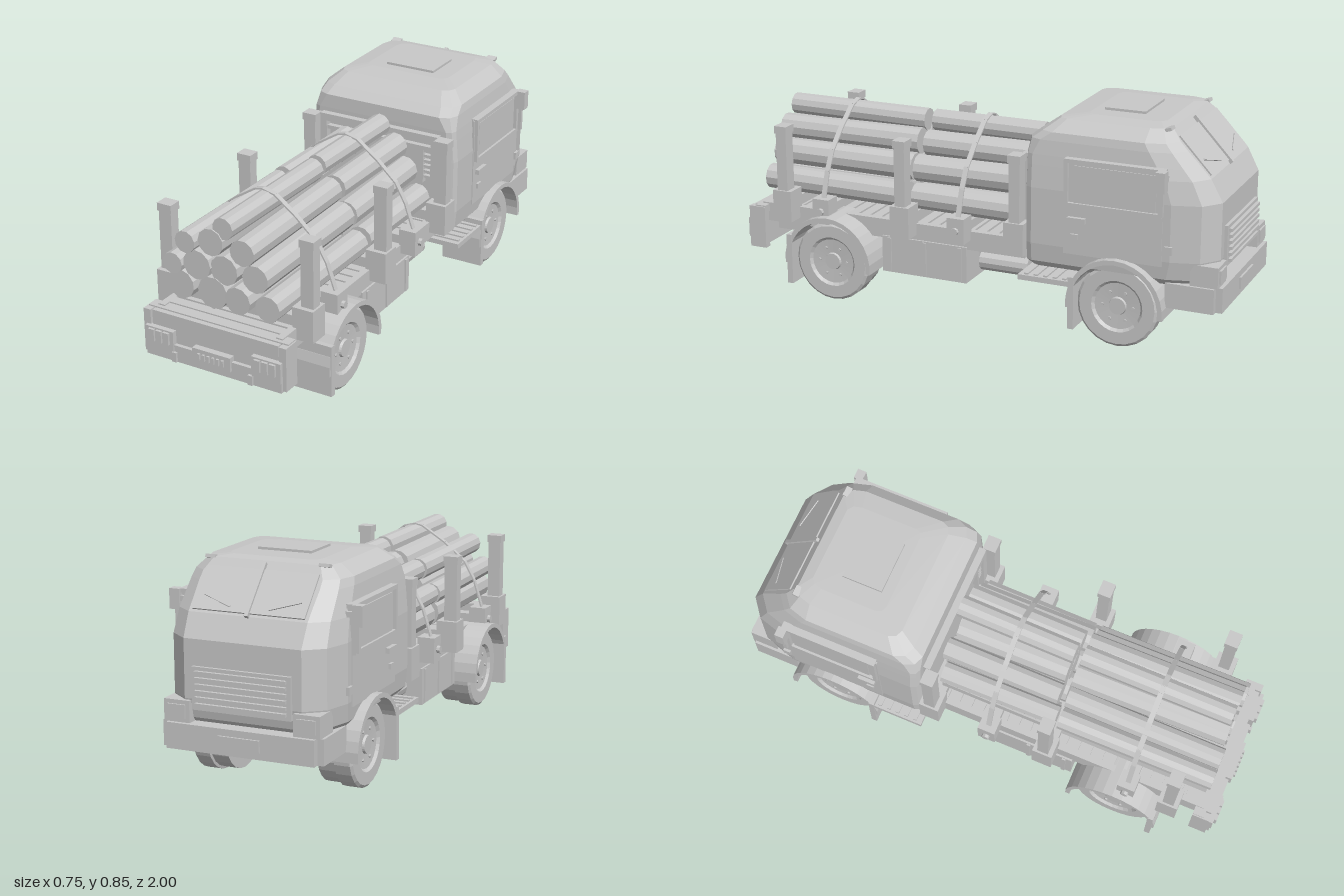
import * as THREE from 'three';

const grey = new THREE.MeshStandardMaterial({ color: 0xc8c8c8, flatShading: true });
grey.name = 'plain grey';

export function createModel() {
  const model = new THREE.Group();
  model.name = 'loggingTruck';

  const add = (name, geo, x = 0, y = 0, z = 0) => {
    const m = new THREE.Mesh(geo, grey);
    m.name = name;
    m.position.set(x, y, z);
    model.add(m);
    return m;
  };
  // box given by its ranges
  const box = (name, x0, x1, y0, y1, z0, z1) =>
    add(name, new THREE.BoxGeometry(x1 - x0, y1 - y0, z1 - z0), (x0 + x1) / 2, (y0 + y1) / 2, (z0 + z1) / 2);
  // the same box on both sides
  const pair = (name, x0, x1, y0, y1, z0, z1) => {
    box(name + 'Left', x0, x1, y0, y1, z0, z1);
    box(name + 'Right', -x1, -x0, y0, y1, z0, z1);
  };
  const rod = (name, r, len, axis, x, y, z, sides = 12) => {
    const g = new THREE.CylinderGeometry(r, r, len, sides);
    if (axis === 'x') g.rotateZ(Math.PI / 2);
    if (axis === 'z') g.rotateX(Math.PI / 2);
    return add(name, g, x, y, z);
  };
  let seed = 7;
  const rand = () => (seed = (seed * 16807) % 2147483647) / 2147483647 - 0.5;

  // Cab: horizontal sections [y, halfWidth, zBack, zFront, backCorner, frontCorner]
  const sections = [
    [0.265, 0.295, -0.25, -0.925, 0.03, 0.09],
    [0.29, 0.318, -0.23, -0.945, 0.03, 0.1],
    [0.36, 0.325, -0.23, -0.96, 0.03, 0.1],
    [0.575, 0.325, -0.23, -0.96, 0.03, 0.1],
    [0.66, 0.318, -0.23, -0.915, 0.03, 0.09],
    [0.7, 0.314, -0.23, -0.878, 0.03, 0.085],
    [0.755, 0.307, -0.232, -0.826, 0.055, 0.075],
    [0.785, 0.3, -0.27, -0.798, 0.06, 0.07],
    [0.828, 0.25, -0.33, -0.76, 0.04, 0.045],
    [0.836, 0.18, -0.42, -0.72, 0.03, 0.03],
  ];
  const rings = sections.map(([y, w, b, f, cb, cf]) => {
    const half = [[w - cb, b], [w - 0.3 * cb, b - 0.3 * cb], [w, b - cb],
      [w, f + 1.6 * cf], [w - 0.3 * cf, f + 0.55 * cf], [w - cf, f]];
    const other = half.map(([x, z]) => [-x, z]).reverse();
    return [...half, ...other].map(([x, z]) => [x, y, z]);
  });
  const pos = [];
  const tri = (...p) => p.forEach((v) => pos.push(...v));
  const n = rings[0].length;
  const low = [0, sections[0][0], -0.58];
  const high = [0, 0.838, -0.55];
  for (let i = 0; i < n; i++) {
    const k = (i + 1) % n;
    for (let j = 0; j < rings.length - 1; j++) {
      const a = rings[j], c = rings[j + 1];
      tri(a[i], a[k], c[i]);
      tri(c[k], c[i], a[k]);
    }
    tri(low, rings[0][k], rings[0][i]);
    tri(high, rings[rings.length - 1][i], rings[rings.length - 1][k]);
  }
  const cabGeo = new THREE.BufferGeometry();
  cabGeo.setAttribute('position', new THREE.Float32BufferAttribute(pos, 3));
  cabGeo.computeVertexNormals();
  add('cab', cabGeo);
  box('roofHatch', -0.105, 0.105, 0.828, 0.846, -0.62, -0.46);

  // Windscreen, its divider and wipers lie on the sloping front
  const sloped = (name, w, h, d, x, t) => {
    const m = add(name, new THREE.BoxGeometry(w, h, d), x, 0.735 + 0.73 * t, -0.848 + 0.68 * t);
    m.rotation.x = 0.751;
    return m;
  };
  sloped('windscreen', 0.43, 0.18, 0.008, 0, 0);
  sloped('windscreenDivider', 0.014, 0.22, 0.024, 0, 0.005);
  for (const s of [-1, 1]) {
    const wiper = sloped('wiper', 0.12, 0.006, 0.016, s * 0.13, -0.05);
    wiper.rotateZ(s * 0.35);
    const marker = box('roofMarker', s * 0.22 - 0.02, s * 0.22 + 0.02, 0.82, 0.832, -0.765, -0.74);
    marker.rotation.x = 0.3;
  }

  // Doors, mirrors and steps
  pair('door', 0.32, 0.329, 0.34, 0.70, -0.77, -0.39);
  pair('windowRailTop', 0.31, 0.342, 0.69, 0.705, -0.78, -0.395);
  pair('windowRailBottom', 0.32, 0.342, 0.525, 0.54, -0.77, -0.395);
  for (const z of [-0.77, -0.41]) pair('windowPost', 0.31, 0.342, 0.525, 0.705, z, z + 0.015);
  pair('windowPane', 0.31, 0.333, 0.54, 0.68, -0.745, -0.43);
  pair('doorHandle', 0.325, 0.345, 0.465, 0.485, -0.48, -0.41);
  pair('doorLock', 0.325, 0.338, 0.4, 0.42, -0.45, -0.42);
  pair('mirrorArm', 0.3, 0.345, 0.66, 0.68, -0.785, -0.77);
  pair('mirror', 0.335, 0.375, 0.63, 0.705, -0.79, -0.755);
  pair('mirrorStalk', 0.345, 0.358, 0.535, 0.67, -0.78, -0.765);
  pair('sideLamp', 0.31, 0.335, 0.39, 0.42, -0.81, -0.78);

  // Front grille, headlamps and bumper
  box('grillePanel', -0.19, 0.19, 0.325, 0.48, -0.972, -0.95);
  for (let i = 0; i < 6; i++) box('grilleSlat', -0.175, 0.175, 0.34 + i * 0.023, 0.352 + i * 0.023, -0.985, -0.96);
  box('frontBumper', -0.285, 0.285, 0.18, 0.275, -0.99, -0.92);
  pair('bumperEnd', 0.24, 0.31, 0.18, 0.275, -0.965, -0.78);
  pair('headlamp', 0.2, 0.3, 0.275, 0.355, -0.975, -0.87);
  pair('headlampLens', 0.215, 0.285, 0.29, 0.34, -0.982, -0.97);
  box('frontPlate', -0.08, 0.08, 0.205, 0.25, -0.998, -0.985);

  // Chassis, axles and boxes underneath
  pair('chassisRail', 0.1, 0.15, 0.2, 0.29, -0.9, 0.94);
  for (const z of [-0.85, -0.3, 0.03, 0.45, 0.8]) box('chassisCrossMember', -0.15, 0.15, 0.21, 0.27, z - 0.02, z + 0.02);
  box('engineSump', -0.11, 0.11, 0.14, 0.28, -0.45, -0.12);
  rod('frontAxle', 0.03, 0.4, 'x', 0, 0.155, -0.6);
  rod('rearAxle', 0.035, 0.4, 'x', 0, 0.155, 0.59);
  rod('differential', 0.075, 0.19, 'x', 0, 0.16, 0.59);
  rod('driveShaft', 0.02, 0.75, 'z', 0, 0.17, 0.2);
  pair('storageBox', 0.1, 0.27, 0.135, 0.28, 0.03, 0.39);
  for (const z of [0.05, 0.2, 0.35]) pair('storageBoxStrap', 0.12, 0.276, 0.14, 0.275, z, z + 0.015);
  pair('sideStep', 0.2, 0.355, 0.22, 0.24, -0.425, -0.22);
  for (let i = 0; i < 5; i++) pair('stepTread', 0.22, 0.345, 0.235, 0.246, -0.41 + i * 0.038, -0.395 + i * 0.038);
  for (const s of [-1, 1]) rod('airTank', 0.04, 0.2, 'z', s * 0.18, 0.21, -0.1);

  // Wheels with hubs, fenders and mud flaps
  const tyre = [[0, 0], [0.147, 0], [0.147, 0.068], [0.157, 0.07], [0.157, 0.13], [0.147, 0.138],
    [0.1, 0.138], [0.09, 0.128], [0.035, 0.125], [0.032, 0.134], [0, 0.134]]
    .map((p) => new THREE.Vector2(...p));
  const arch = new THREE.Shape();
  arch.absarc(0, 0, 0.188, -0.1, Math.PI + 0.1, false);
  arch.absarc(0, 0, 0.17, Math.PI + 0.1, -0.1, true);
  for (const z of [-0.6, 0.59]) {
    for (const s of [-1, 1]) {
      add('wheel', new THREE.LatheGeometry(tyre, 24).rotateZ(-s * Math.PI / 2), s * 0.18, 0.157, z);
      for (let i = 0; i < 6; i++) {
        const a = i * Math.PI / 3;
        rod('wheelNut', 0.006, 0.008, 'x', s * 0.308, 0.157 + 0.06 * Math.sin(a), z + 0.06 * Math.cos(a), 6);
      }
      const fender = new THREE.ExtrudeGeometry(arch, { depth: 0.17, bevelEnabled: false, curveSegments: 8 });
      fender.translate(0, 0, -0.085).rotateY(Math.PI / 2);
      add('fender', fender, s * 0.272, 0.16, z);
    }
    pair('mudFlap', 0.185, 0.36, 0.058, 0.26, z + 0.155, z + 0.178);
  }

  // Load bed with side edges, planks and bolsters
  box('bed', -0.245, 0.245, 0.285, 0.335, -0.2, 0.93);
  pair('bedEdge', 0.235, 0.262, 0.27, 0.345, -0.21, 0.93);
  for (let i = 0; i < 22; i++) box('bedPlank', -0.24, 0.24, 0.33, 0.345, -0.19 + i * 0.05, -0.15 + i * 0.05);

  // Stakes in sockets, strap winches between them
  for (const z of [-0.19, 0.285, 0.8]) {
    box('bolster', -0.27, 0.27, 0.335, 0.385, z - 0.03, z + 0.03);
    pair('stakeSocket', 0.245, 0.33, 0.3, 0.425, z - 0.04, z + 0.04);
    pair('stake', 0.27, 0.322, 0.35, 0.66, z - 0.022, z + 0.022);
    pair('stakeCap', 0.266, 0.326, 0.655, 0.685, z - 0.026, z + 0.026);
  }
  for (const z of [0.05, 0.63]) {
    box('bolster', -0.26, 0.26, 0.335, 0.38, z - 0.025, z + 0.025);
    pair('winch', 0.255, 0.325, 0.31, 0.41, z - 0.035, z + 0.035);
    for (const s of [-1, 1]) rod('winchDrum', 0.015, 0.02, 'x', s * 0.328, 0.36, z, 8);
    // strap over the load
    const path = [[-0.3, 0.4], [-0.262, 0.52], [-0.22, 0.595], [-0.13, 0.67], [-0.03, 0.733], [0, 0.74],
      [0.05, 0.728], [0.14, 0.66], [0.22, 0.585], [0.262, 0.51], [0.3, 0.4]];
    for (let i = 0; i < path.length - 1; i++) {
      const [x0, y0] = path[i], [x1, y1] = path[i + 1];
      const m = add('strap', new THREE.BoxGeometry(Math.hypot(x1 - x0, y1 - y0) + 0.004, 0.006, 0.02),
        (x0 + x1) / 2, (y0 + y1) / 2, z);
      m.rotation.z = Math.atan2(y1 - y0, x1 - x0);
    }
  }

  // Two bundles of slightly tapered logs: [x, y, radius]
  const logs = [[-0.168, 0.44, 0.057], [-0.04, 0.438, 0.062], [0.074, 0.438, 0.053], [0.195, 0.436, 0.05],
    [-0.195, 0.52, 0.041], [-0.099, 0.537, 0.057], [0.013, 0.537, 0.057], [0.137, 0.533, 0.053],
    [-0.137, 0.615, 0.042], [-0.043, 0.633, 0.052], [0.085, 0.622, 0.05], [0.011, 0.694, 0.042]];
  for (const [mid, len] of [[0.61, 0.61], [0.05, 0.46]]) {
    for (const [x, y, r] of logs) {
      const g = new THREE.CylinderGeometry(r, r * 1.04, len + rand() * 0.03, 11).rotateX(Math.PI / 2);
      const log = add('log', g, x, y, mid + rand() * 0.02);
      log.rotation.set(rand() * 0.015, rand() * 0.03, rand());
    }
  }

  // Guard frame between the cab and the load, with a vent on the left
  pair('guardPost', 0.235, 0.265, 0.34, 0.685, -0.228, -0.2);
  box('guardTopBar', -0.265, 0.265, 0.655, 0.685, -0.228, -0.2);
  box('guardMiddleBar', -0.25, 0.25, 0.62, 0.635, -0.228, -0.205);
  for (let i = 0; i < 6; i++) box('ventSlat', 0.2, 0.245, 0.5 + i * 0.022, 0.51 + i * 0.022, -0.228, -0.21);
  box('ventUpright', 0.19, 0.2, 0.48, 0.63, -0.228, -0.206);

  // Rear beam, lamps, plate and hooks
  box('rearDeckBeam', -0.295, 0.295, 0.31, 0.34, 0.9, 0.945);
  box('rearBeam', -0.265, 0.265, 0.25, 0.335, 0.92, 0.965);
  box('rearBumper', -0.285, 0.285, 0.16, 0.225, 0.93, 0.98);
  box('rearPanel', -0.27, 0.27, 0.21, 0.27, 0.93, 0.965);
  pair('rearBumperEnd', 0.27, 0.3, 0.165, 0.335, 0.9, 0.97);
  pair('tailLamp', 0.165, 0.285, 0.2, 0.278, 0.95, 0.985);
  for (let i = 0; i < 3; i++) pair('tailLampLens', 0.18 + i * 0.031, 0.205 + i * 0.031, 0.225, 0.272, 0.98, 0.995);
  box('rearPlate', -0.08, 0.08, 0.19, 0.245, 0.96, 0.99);
  for (let i = 0; i < 6; i++) box('plateBar', -0.055 + i * 0.02, -0.045 + i * 0.02, 0.205, 0.23, 0.985, 0.998);
  pair('towHook', 0.152, 0.17, 0.162, 0.2, 0.97, 0.99);

  return model;
}
